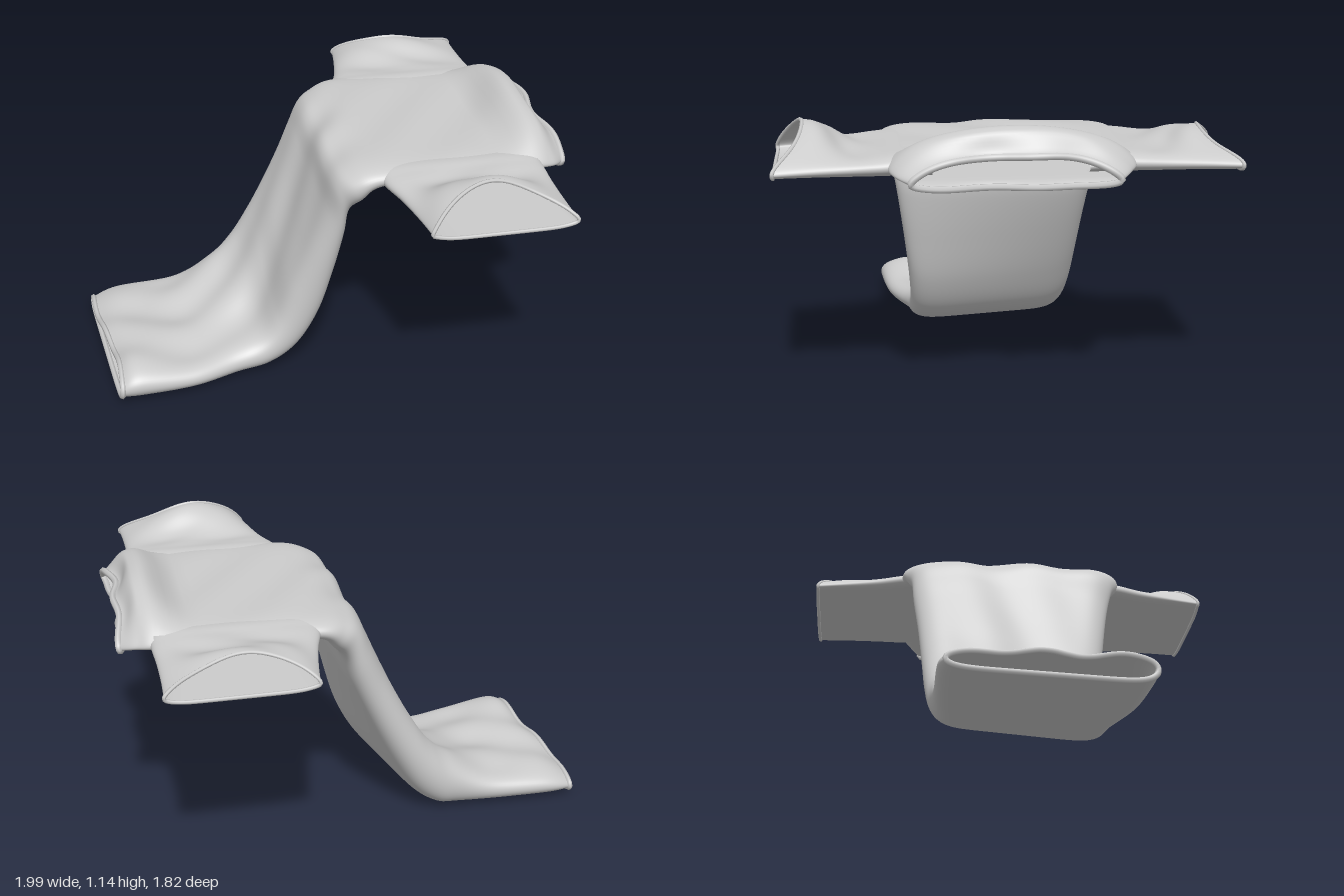
import * as THREE from 'three';

const fabric = new THREE.MeshStandardMaterial({ color: 0xcccccc, side: THREE.DoubleSide });
const lerp = THREE.MathUtils.lerp;
const smooth = THREE.MathUtils.smoothstep;
const RING = 96;

// Smooth interpolation through the rows of a table
function sample(rows, u) {
  const n = rows.length - 1, f = Math.min(u * n, n - 1e-6), i = Math.floor(f), t = f - i;
  const a = rows[Math.max(i - 1, 0)], b = rows[i], c = rows[i + 1], d = rows[Math.min(i + 2, n)];
  return b.map((p, k) => 0.5 * (2 * p + (c[k] - a[k]) * t
    + (2 * a[k] - 5 * p + 4 * c[k] - d[k]) * t * t
    + (3 * p - a[k] - 3 * c[k] + d[k]) * t * t * t));
}

// Flattened ring: w runs across the cloth, h is 1 on the upper layer and 0 on the lower
function ringAt(j) {
  const a = (j / RING) * Math.PI * 2;
  const w = -Math.cos(a);
  const bulge = Math.sqrt(Math.max(0, 1 - w ** 8));
  return [w, 0.5 + 0.5 * bulge * (j <= RING / 2 ? 1 : -1)];
}

// Open cloth tube made of flattened rings; isHole leaves faces out
function clothTube(name, steps, point, flip, isHole) {
  const pos = [], index = [];
  for (let i = 0; i <= steps; i++) {
    for (let j = 0; j < RING; j++) {
      const [w, h] = ringAt(j);
      const p = point(i / steps, w, h);
      pos.push(...p);
      if (i === steps || isHole(p[0], w)) continue;
      const k = (j + 1) % RING;
      const a = i * RING + j, b = i * RING + k, c = a + RING, d = b + RING;
      if (flip) index.push(a, c, b, b, c, d);
      else index.push(a, b, c, b, d, c);
    }
  }
  const geo = new THREE.BufferGeometry();
  geo.setAttribute('position', new THREE.Float32BufferAttribute(pos, 3));
  geo.setIndex(index);
  geo.computeVertexNormals();
  const mesh = new THREE.Mesh(geo, fabric);
  mesh.name = name;
  return mesh;
}

// Rolled edge around an opening
function rolledEdge(name, point, u, radius) {
  const pts = [];
  for (let j = 0; j < RING; j += 2) pts.push(new THREE.Vector3(...point(u, ...ringAt(j))));
  const mesh = new THREE.Mesh(
    new THREE.TubeGeometry(new THREE.CatmullRomCurve3(pts, true), 140, radius, 6, true), fabric);
  mesh.name = name;
  return mesh;
}

// Hem to neck: lower x, y, set-back at right edge | upper x, y at right edge | upper x, y at left edge | z range
const BODY = [
  [-0.915, 0.02, 0.07, -0.98, 0.09, -0.91, 0.13, -0.36, 0.44],
  [-0.83, 0.015, 0.05, -0.87, 0.13, -0.83, 0.16, -0.385, 0.45],
  [-0.6, 0.015, 0.02, -0.6, 0.16, -0.6, 0.13, -0.385, 0.42],
  [-0.4, 0.015, 0.07, -0.42, 0.26, -0.42, 0.14, -0.39, 0.355],
  [-0.25, 0.03, 0.13, -0.32, 0.36, -0.3, 0.18, -0.405, 0.34],
  [-0.12, 0.11, 0.16, -0.24, 0.49, -0.23, 0.28, -0.415, 0.34],
  [-0.025, 0.27, 0.15, -0.17, 0.62, -0.17, 0.45, -0.425, 0.355],
  [0.03, 0.48, 0.09, -0.1, 0.76, -0.1, 0.63, -0.44, 0.38],
  [0.065, 0.68, 0.03, -0.045, 0.88, -0.03, 0.83, -0.46, 0.41],
  [0.075, 0.81, 0, 0, 0.97, 0, 0.96, -0.47, 0.44],
  [0.12, 0.87, 0, 0.06, 1.01, 0.06, 1.01, -0.49, 0.475],
  [0.19, 0.935, 0, 0.17, 1.035, 0.17, 1.035, -0.51, 0.485],
  [0.4, 0.945, 0, 0.4, 1.035, 0.4, 1.035, -0.5, 0.485],
  [0.8, 0.945, 0, 0.79, 1.03, 0.79, 1.03, -0.49, 0.475],
  [0.92, 0.94, 0, 0.91, 1.01, 0.91, 1.01, -0.45, 0.45],
  [0.97, 0.925, 0, 0.985, 0.98, 0.985, 0.98, -0.4, 0.39],
];

function bodyPoint(u, w, h) {
  const [xb, yb, back, xr, yr, xl, yl, zr, zl] = sample(BODY, u);
  const side = (w + 1) / 2;
  const s = smooth(side, 0.1, 0.9);
  const z = lerp(zr, zl, side);
  let x = lerp(xb - back * (1 - side), lerp(xr, xl, s), h);
  let y = lerp(yb, lerp(yr, yl, s), h);
  const mid = 1 - w * w;
  // Raised collar and scooped, wavy neckline
  const neck = smooth(x, 0.68, 0.86), lip = smooth(x, 0.88, 0.98);
  y += neck * h * (1 - Math.abs(w) ** 3) * (0.115 - 0.05 * smooth(x, 0.89, 0.97));
  x -= lip * mid * (0.03 + 0.015 * Math.sin(16 * z));
  // Diagonal drag folds on the drape, creases near the hem and across the chest
  const drape = smooth(x, -0.9, -0.4) * (1 - smooth(x, -0.1, 0.2));
  const hem = 1 - smooth(x, -0.8, -0.3);
  y += h * mid * (drape * 0.016 * Math.sin(19 * z + 12 * x) + hem * 0.01 * Math.sin(21 * z - 8 * x)
    + 0.005 * Math.sin(17 * x + 11 * z));
  return [x, y, z];
}

// Shoulder to cuff: distance from centre, rear x, front x, upper y
const SLEEVE = [
  [0.3, 0.17, 0.86, 1.01],
  [0.42, 0.18, 0.86, 1.03],
  [0.5, 0.19, 0.86, 1.025],
  [0.62, 0.225, 0.855, 1.015],
  [0.77, 0.255, 0.855, 1.005],
  [0.9, 0.275, 0.86, 0.995],
];

function sleevePoint(sign, puff) {
  return (u, w, h) => {
    const [d, x0, x1, top] = sample(SLEEVE, u);
    const x = lerp(x0, x1, (w + 1) / 2);
    const mid = 1 - w * w;
    // The upper layer lifts at the cuff, highest toward the hem side
    const lift = smooth(d, 0.55, 0.88) * puff * mid * (1 - 0.4 * w);
    const crease = 0.006 * mid * smooth(d, 0.45, 0.6) * Math.sin(16 * x + 20 * d);
    const y = lerp(0.945, top + lift + crease, h);
    const reach = d - 0.11 * h * mid * smooth(d, 0.55, 0.9);
    return [x, y, sign * reach];
  };
}

export function createModel() {
  const shirt = new THREE.Group();
  shirt.name = 'drapedShirt';

  // Torso hanging over an edge, open at the armholes, with hem and collar
  const armhole = (x, w) => x > 0.24 && x < 0.83 && Math.abs(w) > 0.95;
  shirt.add(clothTube('torso', 130, bodyPoint, false, armhole));
  shirt.add(rolledEdge('bottomHem', bodyPoint, 0, 0.012));
  shirt.add(rolledEdge('collar', bodyPoint, 1, 0.014));

  // Sleeves and cuffs
  for (const [side, sign, puff] of [['left', 1, 0.115], ['right', -1, 0.07]]) {
    const point = sleevePoint(sign, puff);
    shirt.add(clothTube(side + 'Sleeve', 48, point, sign > 0, () => false));
    shirt.add(rolledEdge(side + 'Cuff', point, 1, 0.008));
  }
  return shirt;
}
